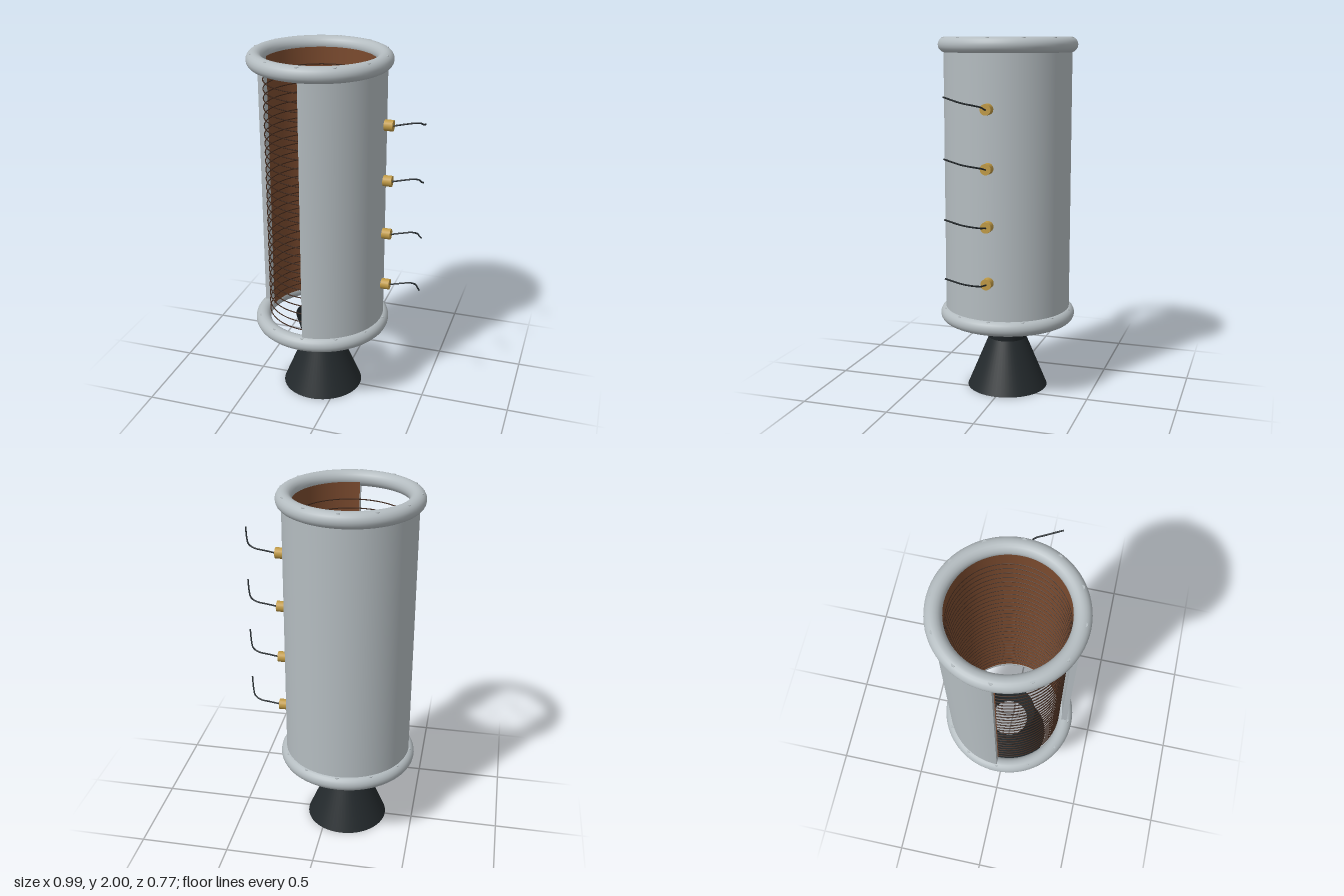
import * as THREE from 'three';
import { toCreasedNormals } from 'three/addons/utils/BufferGeometryUtils.js';

const metal = new THREE.MeshStandardMaterial({ color: 0xb4bcc0 });
const copper = new THREE.MeshStandardMaterial({ color: 0x7a4a2e, side: THREE.DoubleSide });
const wire = new THREE.MeshStandardMaterial({ color: 0x3a2418 });
const brass = new THREE.MeshStandardMaterial({ color: 0xc09a45 });
const black = new THREE.MeshStandardMaterial({ color: 0x23292c, side: THREE.DoubleSide });

const BOTTOM = 0.44, TOP = 1.957, HEIGHT = TOP - BOTTOM;

function add(parent, name, geometry, material, x = 0, y = 0, z = 0) {
  const mesh = new THREE.Mesh(geometry, material);
  mesh.name = name;
  mesh.position.set(x, y, z);
  parent.add(mesh);
  return mesh;
}

export function createModel() {
  const model = new THREE.Group();
  const body = new THREE.Group();
  body.name = 'body';
  body.position.x = -0.111;
  model.add(body);

  // Thick outer shell with one quarter cut away at the front
  const section = new THREE.Shape();
  section.absarc(0, 0, 0.353, -Math.PI / 2, Math.PI, false);
  section.absarc(0, 0, 0.32, Math.PI, -Math.PI / 2, true);
  section.closePath();
  const shell = new THREE.ExtrudeGeometry(section, { depth: HEIGHT, bevelEnabled: false, curveSegments: 54 });
  shell.rotateX(-Math.PI / 2);
  add(body, 'outerShell', toCreasedNormals(shell, 0.6), metal, 0, BOTTOM);

  // Thin liner inside the shell, cut the same way
  add(body, 'liner', new THREE.CylinderGeometry(0.3, 0.3, HEIGHT, 54, 1, true, 0, Math.PI * 1.5),
    copper, 0, (BOTTOM + TOP) / 2);

  // Stack of fine wire hoops around the chamber
  const hoop = new THREE.TorusGeometry(0.3, 0.003, 6, 64).rotateX(Math.PI / 2);
  for (let i = 0; i < 28; i++) add(body, 'wireHoop', hoop, wire, 0, 0.5 + i * 0.05);

  // End rings with bolts half sunk into their upper faces
  const ring = new THREE.TorusGeometry(0.341, 0.043, 20, 72).rotateX(Math.PI / 2);
  const bolt = new THREE.CylinderGeometry(0.012, 0.012, 0.03, 8);
  for (const [name, y] of [['bottomRing', BOTTOM + 0.003], ['topRing', TOP]]) {
    add(body, name, ring, metal, 0, y);
    for (let i = 0; i < 12; i++) {
      const a = (i / 12) * Math.PI * 2;
      add(body, 'ringBolt', bolt, metal, 0.355 * Math.cos(a), y + 0.0245, 0.355 * Math.sin(a));
    }
  }

  // Open nozzle with a narrow throat
  const profile = [[0.23, 0], [0.109, 0.29], [0.154, 0.45]].map(([r, y]) => new THREE.Vector2(r, y));
  add(body, 'nozzle', toCreasedNormals(new THREE.LatheGeometry(profile, 56), 0.5), black);

  // Four side connectors with trailing cables
  const plug = new THREE.CylinderGeometry(0.03, 0.03, 0.065, 20).rotateZ(Math.PI / 2);
  const path = new THREE.CatmullRomCurve3([
    [0.28, -0.003, 0], [0.34, 0.01, -0.006], [0.4, 0.022, -0.01],
    [0.437, 0.032, 0.015], [0.462, 0.045, 0.07], [0.49, 0.075, 0.153],
  ].map(p => new THREE.Vector3(...p)));
  const cable = new THREE.TubeGeometry(path, 32, 0.0045, 8);
  for (let i = 0; i < 4; i++) {
    const y = 0.7 + i * 0.31;
    add(model, 'connector', plug, brass, 0.256, y);
    add(model, 'cable', cable, black, 0, y);
  }
  return model;
}
